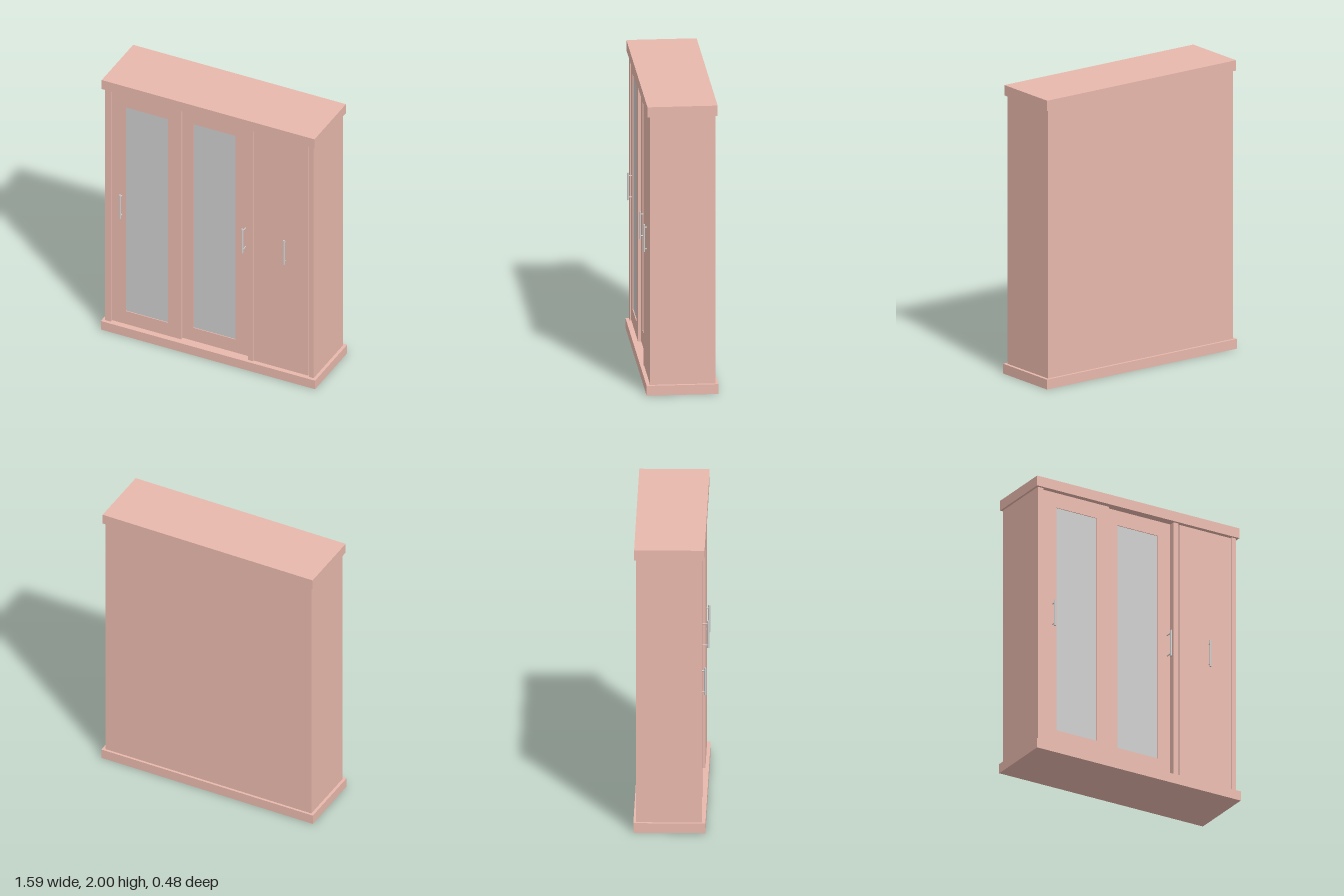
import * as THREE from 'three';

export function createModel() {
  const model = new THREE.Group();
  const wood = new THREE.MeshStandardMaterial({ color: 0xe8b8ac });
  const grey = new THREE.MeshStandardMaterial({ color: 0xcccccc });

  // Box given by its limits on each axis
  const box = (name, [x0, x1], [y0, y1], [z0, z1], parent = model, material = wood) => {
    const mesh = new THREE.Mesh(new THREE.BoxGeometry(x1 - x0, y1 - y0, z1 - z0), material);
    mesh.position.set((x0 + x1) / 2, (y0 + y1) / 2, (z0 + z1) / 2);
    mesh.name = name;
    parent.add(mesh);
  };

  // Carcass: base, cornice, back, sides and divider
  const inner = [0.068, 1.928];
  box('base', [-0.797, 0.797], [0, 0.068], [-0.24, 0.24]);
  box('cornice', [-0.793, 0.79], [1.928, 2], [-0.235, 0.234]);
  box('backPanel', [-0.777, 0.775], inner, [-0.223, -0.205]);
  box('rightSide', [-0.777, -0.734], inner, [-0.205, 0.217]);
  box('leftSide', [0.739, 0.775], inner, [-0.205, 0.217]);
  box('divider', [0.285, 0.325], inner, [-0.205, 0.217]);

  // Sliding door: a frame with an opening and a recessed mirror
  const slidingDoor = (name, x0, x1, m0, m1, z) => {
    const door = new THREE.Group();
    door.name = name;
    const y0 = 0.076, y1 = 1.922, my0 = 0.18, my1 = 1.815, depth = [z - 0.02, z];
    box('stile', [x0, m0], [y0, y1], depth, door);
    box('stile', [m1, x1], [y0, y1], depth, door);
    box('bottomRail', [m0, m1], [y0, my0], depth, door);
    box('topRail', [m0, m1], [my1, y1], depth, door);
    box('mirror', [m0, m1], [my0, my1], [z - 0.017, z - 0.006], door, grey);
    model.add(door);
  };
  slidingDoor('outerSlidingDoor', -0.73, -0.215, -0.627, -0.313, 0.208);
  slidingDoor('innerSlidingDoor', -0.235, 0.277, -0.133, 0.177, 0.186);

  // Plain hinged door with a narrow gap all round
  box('hingedDoor', [0.332, 0.733], [0.076, 1.92], [0.197, 0.217]);

  // Bar handles on two posts reaching back to each door
  const handle = (x, doorZ) => {
    const group = new THREE.Group();
    group.name = 'handle';
    const barZ = 0.236;
    const bar = new THREE.Mesh(new THREE.CylinderGeometry(0.007, 0.007, 0.19, 16), grey);
    bar.name = 'bar';
    bar.position.set(x, 1.025, barZ);
    group.add(bar);
    for (const y of [0.95, 1.1]) {
      const post = new THREE.Mesh(new THREE.CylinderGeometry(0.004, 0.004, barZ - doorZ, 12), grey);
      post.name = 'post';
      post.rotation.x = Math.PI / 2;
      post.position.set(x, y, (barZ + doorZ) / 2);
      group.add(post);
    }
    model.add(group);
  };
  handle(-0.656, 0.208);
  handle(0.254, 0.186);
  handle(0.563, 0.217);

  return model;
}
